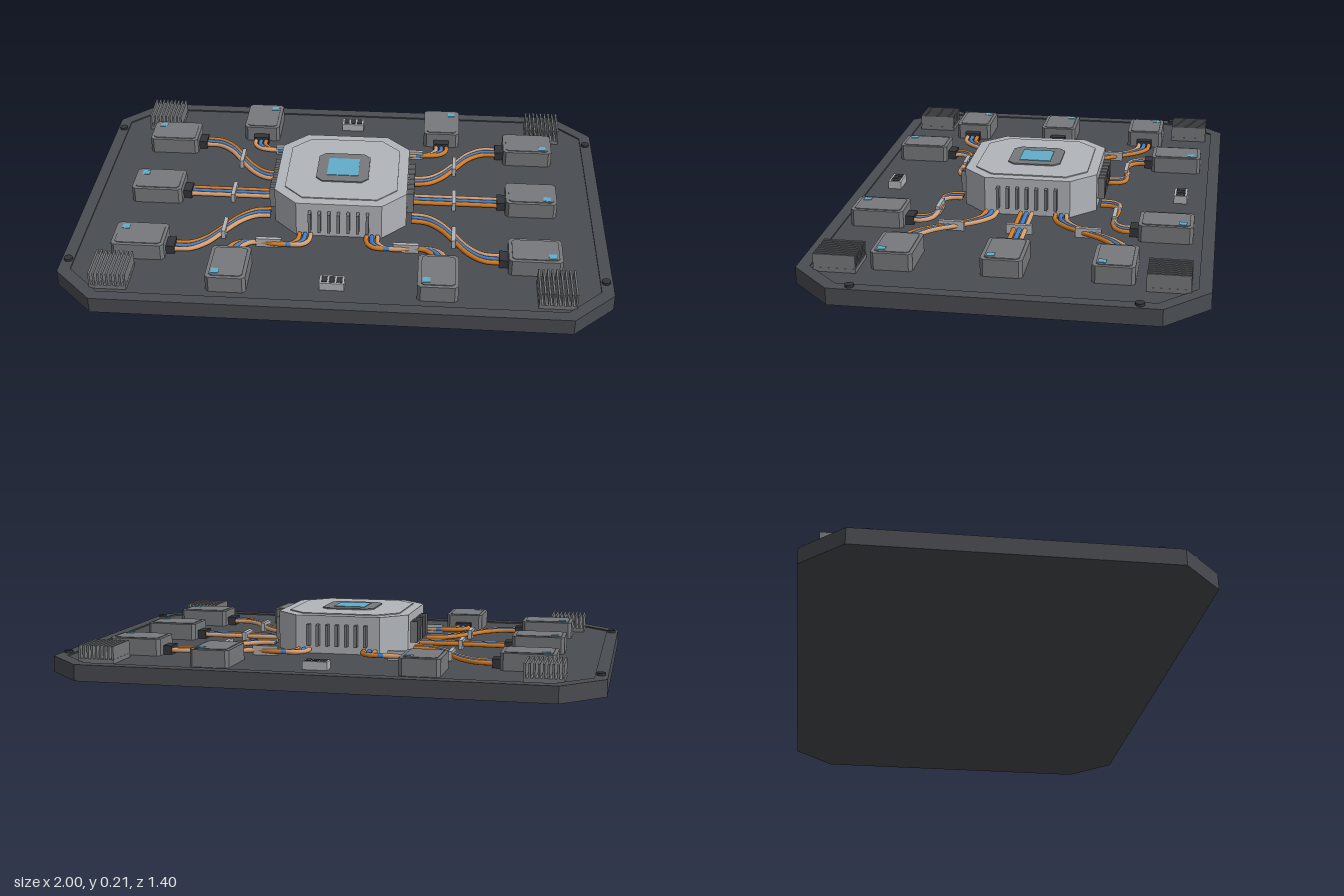
import * as THREE from 'three';

const mat = (name, color) => {
  const m = new THREE.MeshStandardMaterial({ color });
  m.name = name;
  return m;
};

export function createModel() {
  const root = new THREE.Group();
  root.name = 'circuitBoard';
  const M = {
    board: mat('boardCharcoal', 0x494c51),
    dark: mat('socketDark', 0x333539),
    chip: mat('chipGrey', 0x77797c),
    metal: mat('lightMetal', 0xb2b5ba),
    blue: mat('indicatorBlue', 0x62aecb),
    orange: mat('wireOrange', 0xd47c26),
    tan: mat('wireTan', 0xd8a070),
    wireBlue: mat('wireBlue', 0x3f7fca),
  };

  const add = (parent, name, geo, material, x = 0, y = 0, z = 0) => {
    const mesh = new THREE.Mesh(geo, material);
    mesh.name = name;
    mesh.position.set(x, y, z);
    parent.add(mesh);
    return mesh;
  };
  // Box placed by its bottom height and top height
  const box = (parent, name, material, w, d, y0, y1, x = 0, z = 0) =>
    add(parent, name, new THREE.BoxGeometry(w, y1 - y0, d), material, x, (y0 + y1) / 2, z);
  // Rectangle with cut corners
  const octagon = (w, d, c) => {
    const a = w / 2, b = d / 2;
    return [[-a + c, -b], [a - c, -b], [a, -b + c], [a, b - c], [a - c, b], [-a + c, b], [-a, b - c], [-a, -b + c]]
      .map(([x, y]) => new THREE.Vector2(x, y));
  };
  const prism = (parent, name, material, [w, d, c], y0, y1, x = 0, z = 0, hole) => {
    const shape = new THREE.Shape(octagon(w, d, c));
    if (hole) shape.holes.push(new THREE.Path(octagon(...hole)));
    const geo = new THREE.ExtrudeGeometry(shape, { depth: y1 - y0, bevelEnabled: false });
    geo.rotateX(-Math.PI / 2);
    return add(parent, name, geo, material, x, y0, z);
  };

  // Base plate with a low rim
  const FLOOR = 0.055;
  prism(root, 'basePlate', M.board, [2, 1.4, 0.15], 0, FLOOR);
  prism(root, 'baseRim', M.board, [2, 1.4, 0.15], FLOOR, 0.06, 0, 0, [1.91, 1.31, 0.124]);

  // Corner screws and finned heat sinks
  for (const sx of [-1, 1]) for (const sz of [-1, 1]) {
    add(root, 'screw', new THREE.CylinderGeometry(0.016, 0.016, 0.01, 12), M.dark, sx * 0.975, 0.064, sz * 0.475);
    const sink = new THREE.Group();
    sink.name = 'heatSink';
    sink.position.set(sx * 0.795, 0, sz * 0.56);
    root.add(sink);
    box(sink, 'heatSinkBase', M.chip, 0.135, 0.148, FLOOR, 0.07);
    for (let i = 0; i < 9; i++)
      box(sink, 'heatSinkFin', M.chip, 0.007, 0.146, 0.07, 0.118, (i - 4) * 0.0158);
  }

  // Central processor
  const cpu = new THREE.Group();
  cpu.name = 'processor';
  root.add(cpu);
  prism(cpu, 'processorBody', M.metal, [0.5, 0.5, 0.09], FLOOR, 0.197);
  prism(cpu, 'processorLid', M.metal, [0.425, 0.425, 0.072], 0.197, 0.201);
  prism(cpu, 'dieFrame', M.chip, [0.2, 0.2, 0.025], 0.201, 0.206);
  box(cpu, 'dieWindow', M.blue, 0.12, 0.12, 0.206, 0.208);

  // A small three-cell connector at the front and at the back
  for (const sz of [-1, 1]) {
    box(root, 'portBlock', M.metal, 0.09, 0.05, FLOOR, 0.085, 0, sz * 0.56);
    for (let i = -1; i <= 1; i++)
      box(root, 'portCell', M.dark, 0.021, 0.034, 0.085, 0.087, i * 0.027, sz * 0.56);
  }

  // Chip with its plug and corner light; the outward side is -x
  const addChip = (parent, x, z) => {
    prism(parent, 'chipBody', M.chip, [0.195, 0.145, 0.012], FLOOR, 0.117, x, z);
    prism(parent, 'chipTop', M.chip, [0.17, 0.12, 0.01], 0.117, 0.12, x, z);
    box(parent, 'chipLight', M.blue, 0.028, 0.028, 0.12, 0.122, x - 0.06, z - 0.04);
    box(parent, 'chipPlug', M.dark, 0.035, 0.062, FLOOR, 0.088, x + 0.112, z);
  };

  // Three wires side by side along one path, held by a clip
  const addBundle = (parent, path, clip) => {
    [M.orange, M.wireBlue, M.tan].forEach((material, i) => {
      const pts = path.map(([x, z]) => new THREE.Vector3(x, 0.071, z + (i - 1) * 0.021));
      const curve = new THREE.CatmullRomCurve3(pts, false, 'centripetal');
      add(parent, 'wire', new THREE.TubeGeometry(curve, 28, 0.009, 8), material);
    });
    box(parent, 'wireClip', M.metal, 0.015, 0.095, FLOOR, 0.09, ...clip);
  };

  // Four sides: left, back, right, front
  for (let k = 0; k < 4; k++) {
    const side = new THREE.Group();
    side.name = ['leftSide', 'backSide', 'rightSide', 'frontSide'][k];
    side.rotation.y = -k * Math.PI / 2;
    root.add(side);

    // Cooling fins on the processor wall
    for (let i = -3; i <= 3; i++)
      box(side, 'processorFin', M.chip, 0.027, 0.011, 0.085, 0.166, -0.2625, i * 0.036);

    if (k % 2 === 0) {
      for (const s of [-1, 0, 1]) {
        addChip(side, -0.725, s * 0.375);
        const path = s === 0
          ? [[-0.6, 0], [-0.43, 0], [-0.27, 0]]
          : [[-0.6, 0.375], [-0.54, 0.37], [-0.485, 0.33], [-0.43, 0.25], [-0.375, 0.175], [-0.325, 0.138], [-0.27, 0.13]]
            .map(([x, z]) => [x, s * z]);
        addBundle(side, path, [-0.43, s * 0.25]);
      }
    } else {
      for (const s of [-1, 1]) {
        addChip(side, -0.525, s * 0.375);
        const path = [[-0.41, 0.375], [-0.37, 0.375], [-0.34, 0.35], [-0.328, 0.3], [-0.33, 0.25], [-0.338, 0.2],
          [-0.335, 0.155], [-0.31, 0.13], [-0.265, 0.125]].map(([x, z]) => [x, s * z]);
        addBundle(side, path, [-0.33, s * 0.255]);
      }
    }
  }
  return root;
}
